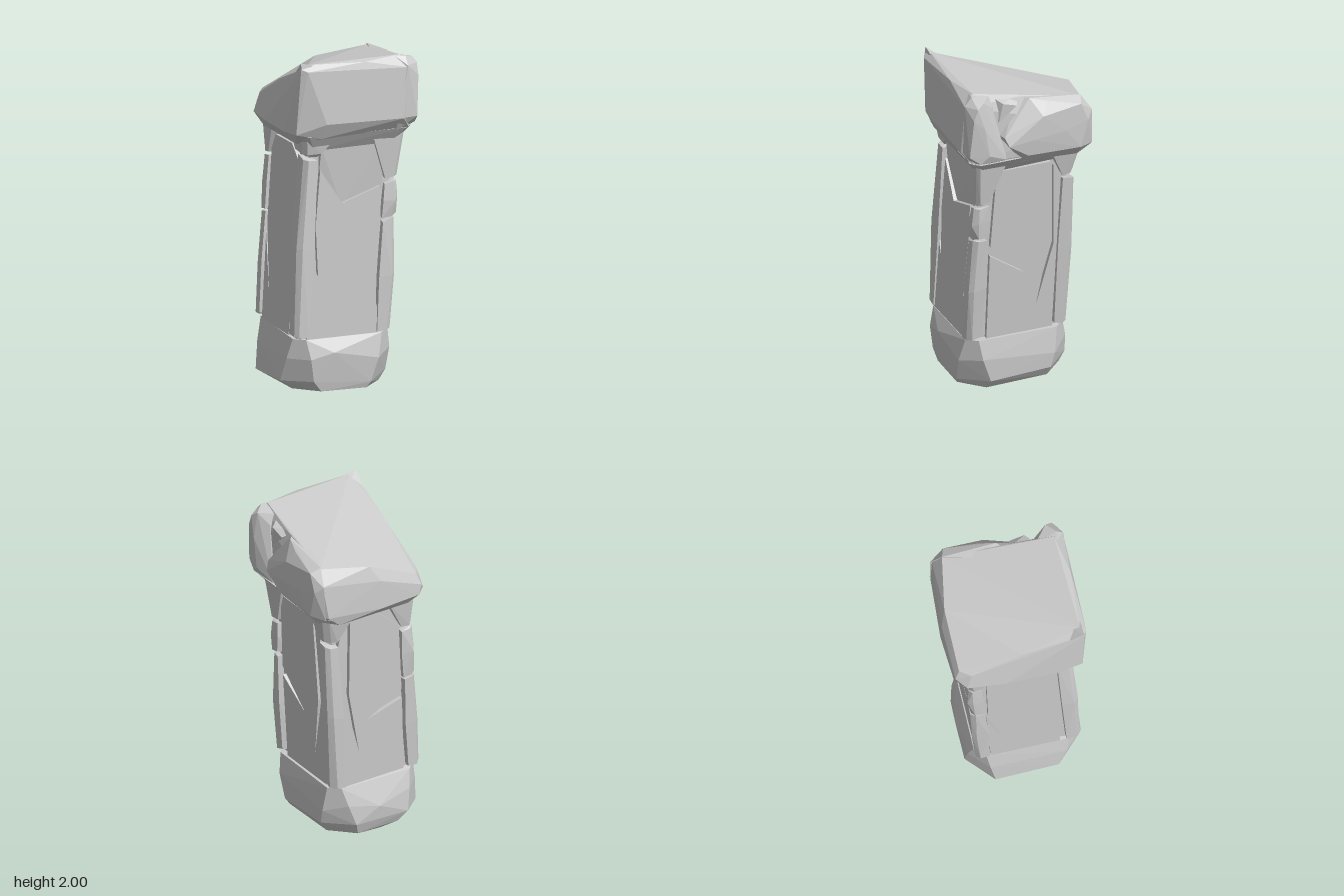
import * as THREE from 'three';
import { ConvexGeometry } from 'three/addons/geometries/ConvexGeometry.js';

const stone = new THREE.MeshStandardMaterial({ color: 0xcccccc, flatShading: true });

// Small seeded noise for chipped corners
let seed = 7;
const jitter = (amount) => {
  seed = (seed * 16807) % 2147483647;
  return (seed / 2147483647 - 0.5) * 2 * amount;
};

// Lean of the shaft: sideways drift with height
function lean(geometry) {
  const p = geometry.attributes.position;
  for (let i = 0; i < p.count; i++) {
    const h = p.getY(i) - 0.4;
    p.setX(i, p.getX(i) - 0.07 + 0.065 * h);
    p.setZ(i, p.getZ(i) + 0.025 - 0.03 * h);
  }
  geometry.computeVertexNormals();
  return geometry;
}

const hull = (points) => new ConvexGeometry(points.map((p) => new THREE.Vector3(...p)));

// Rectangle [x0, x1, z0, z1] with cut corners at height y
function ring(y, x0, x1, z0, z1, cut, rough = 0) {
  const out = [];
  for (const [x, sx] of [[x0, 1], [x1, -1]])
    for (const [z, sz] of [[z0, 1], [z1, -1]]) {
      out.push([x + sx * cut, y + jitter(rough), z], [x, y + jitter(rough), z + sz * cut]);
    }
  return out;
}

export function createModel() {
  const model = new THREE.Group();
  model.name = 'stonePillar';
  const add = (name, geometry) => {
    const mesh = new THREE.Mesh(geometry, stone);
    mesh.name = name;
    model.add(mesh);
  };

  // Foot block, chipped and rounded towards the ground
  add('base', hull([
    ...ring(0.335, -0.36, 0.23, -0.28, 0.33, 0.06, 0.01),
    ...ring(0.2, -0.39, 0.25, -0.31, 0.36, 0.11, 0.04),
    ...ring(0.07, -0.41, 0.245, -0.325, 0.35, 0.15, 0.03),
    ...ring(0.015, -0.34, 0.2, -0.3, 0.34, 0.13, 0.008),
    [-0.1, 0, -0.28], [-0.14, 0.25, 0.37], [-0.06, 0.18, -0.335], [0.25, 0.22, 0.24],
  ]));

  // Shaft core behind the panels
  add('shaftCore', lean(hull([
    ...ring(0.3, -0.265, 0.265, -0.275, 0.275, 0.02),
    ...ring(1.52, -0.265, 0.265, -0.275, 0.275, 0.02),
  ])));

  // Raised panels; outlines are [across, height] seen face on, with cracks cut in
  const panels = [
    ['frontPanel', 0, 0.268, [
      [-0.22, 0.33], [0.22, 0.33], [0.22, 0.45], [0.17, 0.6], [0.2, 1.0], [0.19, 1.2],
      [-0.04, 1.12], [-0.19, 1.33], [-0.2, 1.0], [-0.17, 0.7], [-0.22, 0.8]]],
    ['leftPanel', Math.PI / 2, 0.258, [
      [-0.19, 0.34], [0.22, 0.34], [0.22, 1.36], [0.17, 1.42], [0.2, 0.9], [0.11, 0.5],
      [0.17, 0.9], [0.15, 1.45], [-0.16, 1.45], [-0.19, 1.38], [-0.2, 0.95], [0.02, 0.74], [-0.2, 0.89]]],
    ['backPanel', Math.PI, 0.268, [
      [-0.22, 0.34], [0.19, 0.34], [0.2, 0.82], [-0.04, 0.75], [0.2, 0.88], [0.2, 1.32],
      [0.06, 1.45], [-0.13, 1.45], [-0.16, 0.95], [-0.11, 0.55], [-0.19, 0.95], [-0.2, 1.38], [-0.22, 1.3]]],
    ['rightPanel', -Math.PI / 2, 0.258, [
      [-0.22, 0.34], [0.19, 0.34], [0.2, 1.38], [0.1, 1.45], [-0.15, 1.44], [-0.2, 1.35],
      [-0.21, 0.9], [-0.13, 0.5], [-0.22, 0.85]]],
  ];
  for (const [name, turn, distance, outline] of panels) {
    const shape = new THREE.Shape(outline.map(([u, y]) => new THREE.Vector2(u, y)));
    const g = new THREE.ExtrudeGeometry(shape, { depth: 0.032, bevelEnabled: false });
    g.translate(0, 0, distance).rotateY(turn);
    add(name, lean(g));
  }
  // Tilted upper piece of the front panel, sunk behind the crack and flush at the top
  add('frontUpperPanel', lean(hull([
    [-0.19, 1.32, 0.26], [-0.04, 1.1, 0.26], [0.21, 1.18, 0.26], [0.21, 1.5, 0.26], [-0.2, 1.5, 0.26],
    [-0.19, 1.32, 0.285], [-0.04, 1.1, 0.275], [0.21, 1.18, 0.275], [0.2, 1.47, 0.305], [-0.19, 1.47, 0.305],
  ])));

  // Corner posts: stacked pieces parted at the breaks, then a bracket flaring to the collar
  const corners = [
    ['frontLeft', 1, 1, [0.35, 1.0, 1.22]], ['frontRight', -1, 1, [0.35, 1.4]],
    ['backLeft', 1, -1, [0.35, 1.32]], ['backRight', -1, -1, [0.35, 0.95, 1.28]],
  ];
  for (const [name, sx, sz, breaks] of corners) {
    const section = (y, inner, outer, slope) => [
      [inner, inner], [outer, inner], [outer, outer - 0.025], [outer - 0.025, outer], [inner, outer],
    ].map(([a, b]) => [sx * (a + jitter(0.006)), y + slope * (a - b) + jitter(0.008), sz * (b + 0.01 + jitter(0.006))]);
    for (let i = 1; i < breaks.length; i++) {
      const low = breaks[i - 1] + (i > 1 ? 0.02 : 0);
      add(name + 'Post', lean(hull([
        ...section(low, 0.215, 0.3, 0.15),
        ...section((low + breaks[i]) / 2, 0.21, 0.307, 0.15),
        ...section(breaks[i], 0.215, 0.298, 0.15),
      ])));
    }
    const top = breaks[breaks.length - 1];
    add(name + 'Bracket', lean(hull([
      ...section(top + 0.025, 0.22, 0.292, 0.1),
      ...section(1.44, 0.19, 0.305, 0.1),
      ...section(1.53, 0.12, 0.32, 0.1),
    ])));
  }

  // Collar under the capital
  add('collar', hull([
    ...ring(1.455, -0.28, 0.275, -0.31, 0.3, 0.04, 0.012),
    ...ring(1.55, -0.34, 0.36, -0.39, 0.36, 0.05),
  ]));

  // Capital: main block, its top falling away to the back right corner
  add('capital', hull([
    [-0.345, 1.965, 0.365], [-0.3, 1.985, 0.35], [0.28, 1.985, 0.33], [0.05, 1.975, 0.375], [0.31, 1.92, 0.39],
    [-0.31, 1.95, 0.385], [-0.33, 1.82, 0.0], [0.315, 1.93, 0.05], [-0.1, 1.945, 0.14],
    [-0.29, 1.665, -0.365], [0.34, 1.87, -0.32], [0.36, 1.78, -0.375], [0.04, 1.82, -0.375],
    [-0.02, 1.72, -0.405], [-0.335, 1.66, -0.3], [-0.31, 1.6, -0.39],
    [-0.36, 1.75, 0.33], [-0.39, 1.56, 0.2], [-0.37, 1.57, 0.35], [-0.385, 1.55, -0.1], [-0.36, 1.54, -0.33],
    [-0.2, 1.63, 0.405], [0.28, 1.62, 0.405], [0.33, 1.55, 0.35], [-0.22, 1.535, 0.36],
    [-0.29, 1.54, -0.395], [0.33, 1.57, -0.39], [-0.02, 1.54, -0.412], [0.25, 1.5, -0.38], [-0.24, 1.48, -0.35],
    [-0.33, 1.49, 0.25], [-0.33, 1.475, -0.25], [0.32, 1.51, 0.25], [0.34, 1.51, -0.3],
    [0.39, 1.72, -0.33], [0.38, 1.57, -0.33],
  ]));

  // Capital side in front of the split
  add('capitalFrontLump', hull([
    [0.25, 1.98, 0.34], [0.25, 1.96, 0.2], [0.31, 1.98, 0.35], [0.37, 1.96, 0.3], [0.385, 1.93, 0.34],
    [0.385, 1.86, 0.365], [0.31, 1.93, 0.393], [0.25, 1.62, 0.4], [0.37, 1.62, 0.385],
    [0.395, 1.8, 0.3], [0.395, 1.62, 0.27], [0.38, 1.57, 0.32], [0.36, 1.56, 0.15],
    [0.3, 1.68, 0.2], [0.33, 1.9, 0.23], [0.25, 1.53, 0.35], [0.3, 1.52, 0.12],
  ]));

  // Capital side behind the split, bulging furthest
  add('capitalRearLump', hull([
    [0.28, 1.92, 0.06], [0.29, 1.9, -0.15], [0.34, 1.92, 0.0], [0.34, 1.88, -0.32], [0.37, 1.89, -0.1],
    [0.4, 1.85, -0.3], [0.41, 1.82, -0.06], [0.4, 1.74, -0.345], [0.36, 1.78, -0.385],
    [0.3, 1.72, 0.2], [0.38, 1.71, 0.17], [0.405, 1.66, 0.15], [0.412, 1.68, 0.0], [0.41, 1.7, -0.2],
    [0.4, 1.58, 0.03], [0.4, 1.57, -0.3], [0.35, 1.56, -0.39], [0.36, 1.53, 0.03], [0.34, 1.5, -0.3],
    [0.28, 1.52, 0.05],
  ]));

  // Sliver caught in the split
  add('splitSliver', hull([
    [0.28, 1.95, 0.22], [0.28, 1.93, 0.05], [0.28, 1.76, 0.22], [0.35, 1.92, 0.17], [0.345, 1.89, 0.08], [0.34, 1.8, 0.19],
  ]));

  // Chipped top corner
  add('capitalTopChip', hull([
    [-0.345, 2, 0.36], [-0.27, 1.985, 0.36], [-0.34, 1.93, 0.37], [-0.345, 1.93, 0.28], [-0.26, 1.95, 0.28],
  ]));

  return model;
}
